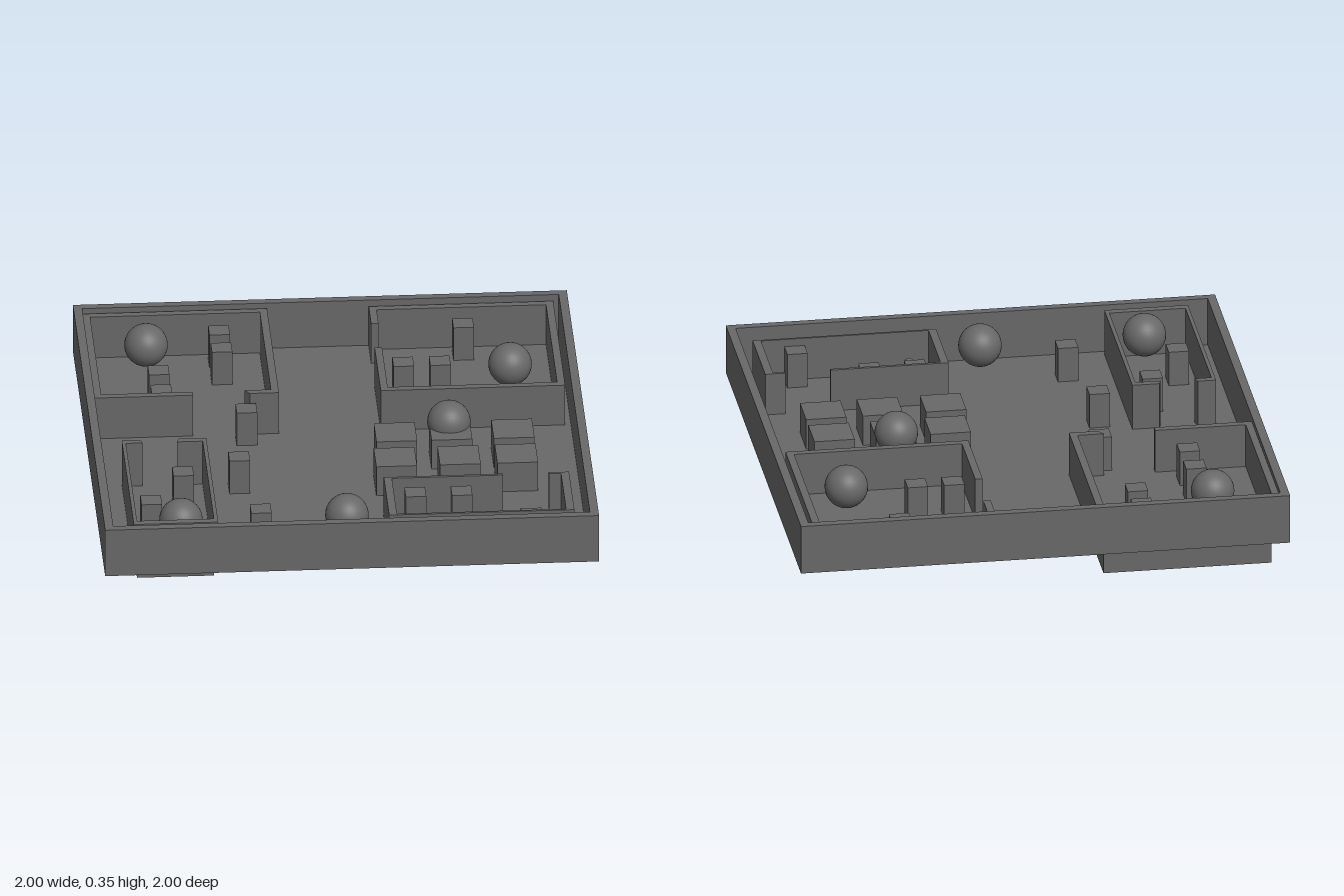
import * as THREE from 'three';

const grey = new THREE.MeshStandardMaterial({ color: 0x686868 });
const sheet = new THREE.MeshStandardMaterial({ color: 0x686868, side: THREE.DoubleSide });

const FLOOR = 0.117;

const toVectors = pts => pts.map(([x, z]) => new THREE.Vector2(x, -z));

// Plan outline raised between two heights
function raise(name, shape, y0, y1) {
  const geo = new THREE.ExtrudeGeometry(shape, { depth: y1 - y0, bevelEnabled: false });
  geo.rotateX(-Math.PI / 2);
  const mesh = new THREE.Mesh(geo, grey);
  mesh.position.y = y0;
  mesh.name = name;
  return mesh;
}

// Square-based block standing between two heights
function block(name, x, z, w, d, y0, y1) {
  const mesh = new THREE.Mesh(new THREE.BoxGeometry(w, y1 - y0, d), grey);
  mesh.position.set(x, (y0 + y1) / 2, z);
  mesh.name = name;
  return mesh;
}

function ball(name, x, y, z, r) {
  const mesh = new THREE.Mesh(new THREE.SphereGeometry(r, 32, 20), grey);
  mesh.position.set(x, y, z);
  mesh.name = name;
  return mesh;
}

// Thin upright skirt along a path, hanging below the floor
function skirt(path, y0, y1) {
  const pos = [];
  for (let i = 0; i + 1 < path.length; i++) {
    const [ax, az] = path[i], [bx, bz] = path[i + 1];
    pos.push(ax, y0, az, bx, y0, bz, bx, y1, bz, ax, y0, az, bx, y1, bz, ax, y1, az);
  }
  const geo = new THREE.BufferGeometry();
  geo.setAttribute('position', new THREE.Float32BufferAttribute(pos, 3));
  geo.computeVertexNormals();
  const mesh = new THREE.Mesh(geo, sheet);
  mesh.name = 'skirt';
  return mesh;
}

// Room: thick wall between outer and inner plan lines, inner line carried on down
function room(name, outer, inner, yBottom, yTop) {
  const group = new THREE.Group();
  group.name = name;
  const shape = new THREE.Shape(toVectors([...outer, ...[...inner].reverse()]));
  group.add(raise('roomWall', shape, FLOOR, yTop), skirt(inner, yBottom, FLOOR));
  return group;
}

export function createModel() {
  const model = new THREE.Group();
  model.name = 'floorPlan';

  // Outer wall: square ring, its hole wound the opposite way
  const square = h => toVectors([[-h, -h], [-h, h], [h, h], [h, -h]]);
  const inside = 0.965;
  const ring = new THREE.Shape(square(1));
  ring.holes.push(new THREE.Path(square(inside).reverse()));
  model.add(raise('outerWall', ring, FLOOR, 0.325));

  // Floor, flush with the underside of the outer wall
  model.add(block('floor', 0, 0, 2 * inside, 2 * inside, FLOOR, FLOOR + 0.003));

  // Four rooms, each line running from one side of its doorway to the other
  model.add(
    room('backRightRoom',
      [[-0.565, -0.21], [-0.964, -0.21], [-0.964, -0.957], [-0.217, -0.957], [-0.217, -0.21], [-0.335, -0.21]],
      [[-0.565, -0.24], [-0.935, -0.24], [-0.935, -0.926], [-0.248, -0.926], [-0.248, -0.24], [-0.355, -0.24]],
      0, 0.305),
    room('backLeftRoom',
      [[0.195, -0.805], [0.195, -0.957], [0.942, -0.957], [0.942, -0.21], [0.195, -0.21], [0.195, -0.592]],
      [[0.225, -0.805], [0.225, -0.926], [0.911, -0.926], [0.911, -0.24], [0.225, -0.24], [0.225, -0.592]],
      0.094, 0.3),
    room('frontRightRoom',
      [[-0.805, 0.19], [-0.88, 0.19], [-0.88, 0.937], [-0.538, 0.937], [-0.538, 0.19], [-0.648, 0.19]],
      [[-0.797, 0.218], [-0.865, 0.218], [-0.865, 0.906], [-0.554, 0.906], [-0.554, 0.218], [-0.658, 0.218]],
      0.057, 0.315),
    room('frontLeftRoom',
      [[0.64, 0.555], [0.157, 0.555], [0.157, 0.892], [0.907, 0.892], [0.907, 0.555], [0.825, 0.555]],
      [[0.64, 0.568], [0.189, 0.568], [0.189, 0.882], [0.874, 0.882], [0.874, 0.568], [0.825, 0.568]],
      0.094, 0.3),
  );

  // Stools
  const stools = new THREE.Group();
  stools.name = 'stools';
  for (const [x, z] of [
    [-0.418, -0.85], [-0.418, -0.697], [-0.685, -0.513], [-0.685, -0.343], [-0.353, -0.153],
    [-0.41, 0.27], [-0.645, 0.387], [-0.79, 0.632], [-0.353, 0.737], [0.57, -0.85],
    [0.306, -0.523], [0.455, -0.523], [0.28, 0.632], [0.467, 0.632], [0.737, 0.845],
  ]) stools.add(block('stool', x, z, 0.083, 0.083, 0.088, 0.268));
  model.add(stools);

  // Tables in two rows
  const tables = new THREE.Group();
  tables.name = 'tables';
  for (const [x, z] of [[0.237, 0.062], [0.46, 0.062], [0.712, 0.062], [0.222, 0.282], [0.48, 0.282], [0.712, 0.282]])
    tables.add(block('table', x, z, 0.165, 0.165, 0.095, 0.25));
  model.add(tables);

  // Large balls and one small one
  for (const [x, z] of [[-0.72, -0.757], [0.737, -0.493], [0.457, 0], [-0.68, 0.797], [-0.008, 0.797]])
    model.add(ball('ball', x, 0.259, z, 0.088));
  model.add(ball('smallBall', 0.282, 0.2, 0.797, 0.02));

  return model;
}
